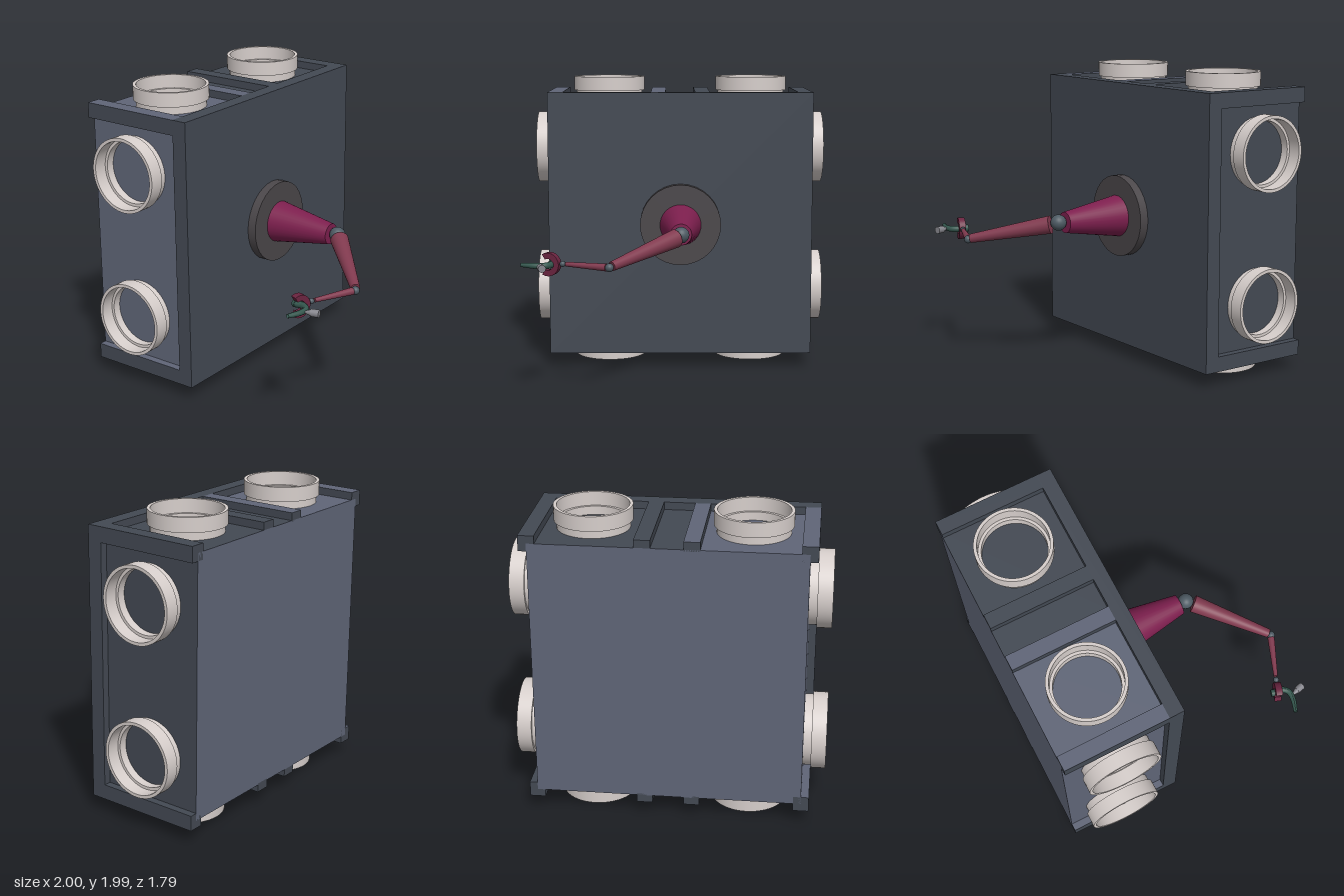
import * as THREE from 'three';

const mat = (color, extra = {}) => new THREE.MeshStandardMaterial({ color, ...extra });
const dark = mat(0x434953), light = mat(0x5f6577), ringMat = mat(0xd6cecb);
const discMat = mat(0x4b474a), coneMat = mat(0x7d1f4e), armMat = mat(0x813a4f);
const ballMat = mat(0x4d5a63), greenMat = mat(0x35584f), clawMat = mat(0x6b2440), greyMat = mat(0x85858c);
const V = (x, y, z) => new THREE.Vector3(x, y, z);

export function createModel() {
  const model = new THREE.Group();

  function add(name, geometry, material, parent = model) {
    const mesh = new THREE.Mesh(geometry, material);
    mesh.name = name;
    parent.add(mesh);
    return mesh;
  }

  // Box given by its limits on each axis
  function box(name, [x0, x1], [y0, y1], [z0, z1], material) {
    const mesh = add(name, new THREE.BoxGeometry(x1 - x0, y1 - y0, z1 - z0), material);
    mesh.position.set((x0 + x1) / 2, (y0 + y1) / 2, (z0 + z1) / 2);
    return mesh;
  }

  // Tapered rod between two points
  function rod(name, a, b, ra, rb, material) {
    const dir = b.clone().sub(a);
    const mesh = add(name, new THREE.CylinderGeometry(rb, ra, dir.length(), 32), material);
    mesh.position.copy(a).add(b).multiplyScalar(0.5);
    mesh.quaternion.setFromUnitVectors(V(0, 1, 0), dir.normalize());
    return mesh;
  }

  function ball(name, p, r, material) {
    add(name, new THREE.SphereGeometry(r, 24, 16), material).position.copy(p);
  }

  // Casing: front plate and a recessed core (face order +x -x +y -y +z -z)
  box('frontPlate', [-0.9, 0.9], [0.1, 1.9], [-0.2, -0.1], dark);
  box('coreRight', [-0.85, -0.1], [0.15, 1.85], [-0.9, -0.2], [dark, light, light, dark, dark, light]);
  box('coreLeft', [-0.1, 0.85], [0.15, 1.85], [-0.9, -0.2], [dark, dark, dark, dark, dark, light]);

  // Corner rails and inner ridges along the top and bottom
  for (const sx of [-1, 1]) {
    const top = sx < 0 ? light : dark;
    const faces = [dark, dark, top, dark, dark, dark];
    const span = (a, b) => (sx > 0 ? [a, b] : [-b, -a]);
    for (const up of [false, true]) {
      box('cornerRail', span(0.8, 0.9), up ? [1.8, 1.9] : [0.1, 0.2], [-0.9, -0.2], faces);
      box('ridge', span(0.1, 0.2), up ? [1.84, 1.9] : [0.1, 0.16], [-0.9, -0.2], faces);
    }
  }

  // Stepped socket rings, two on each of the four sides
  const profile = [
    [0.23, 0], [0.23, 0.055], [0.247, 0.055], [0.247, 0.15],
    [0.226, 0.15], [0.226, 0.06], [0.207, 0.06], [0.207, 0],
  ];
  // Each segment is turned by itself, so the edges stay sharp
  const bands = profile.slice(1).map((p, i) => new THREE.LatheGeometry(
    [new THREE.Vector2(...profile[i]), new THREE.Vector2(...p)], 64));
  for (let side = 0; side < 4; side++) {
    for (const offset of [-0.497, 0.497]) {
      const ring = new THREE.Group();
      ring.name = 'socketRing';
      for (const band of bands) add('ringBand', band, ringMat, ring);
      const angle = side * Math.PI / 2;
      const out = V(-Math.sin(angle), Math.cos(angle), 0);
      const along = V(Math.cos(angle), Math.sin(angle), 0);
      ring.position.set(0, 1, -0.545).addScaledVector(out, 0.845).addScaledVector(along, offset);
      ring.rotation.z = angle;
      model.add(ring);
    }
  }

  // Arm: mount, shoulder, joints and two tapering links
  rod('mountDisc', V(0, 1.005, -0.1), V(0, 1.005, -0.04), 0.275, 0.275, discMat);
  rod('shoulderCone', V(0, 1.005, -0.04), V(0, 1.005, 0.38), 0.14, 0.07, coneMat);
  ball('shoulderJoint', V(0, 1.01, 0.43), 0.053, ballMat);
  rod('upperArm', V(-0.035, 0.995, 0.47), V(-0.43, 0.882, 0.85), 0.06, 0.03, armMat);
  ball('elbowJoint', V(-0.445, 0.875, 0.86), 0.027, ballMat);
  rod('forearm', V(-0.465, 0.875, 0.85), V(-0.72, 0.877, 0.742), 0.024, 0.014, armMat);
  ball('wristJoint', V(-0.742, 0.877, 0.732), 0.019, ballMat);

  // C-shaped claw, open away from the arm
  const c = new THREE.Shape();
  c.absarc(0, 0, 0.074, -2.1, 2.1, false);
  c.absarc(0, 0, 0.036, 2.1, -2.1, true);
  c.closePath();
  const clawGeo = new THREE.ExtrudeGeometry(c, { depth: 0.045, bevelEnabled: false, curveSegments: 24 });
  clawGeo.translate(0, 0, -0.0225);
  const claw = add('claw', clawGeo, clawMat);
  claw.position.set(-0.83, 0.87, 0.698);
  claw.rotation.y = -0.34;

  // Curved finger, narrowed towards its tip
  const path = new THREE.CatmullRomCurve3([
    V(-0.815, 0.87, 0.66), V(-0.815, 0.87, 0.72), V(-0.85, 0.87, 0.765),
    V(-0.91, 0.87, 0.768), V(-1.0, 0.872, 0.738),
  ]);
  const finger = new THREE.TubeGeometry(path, 32, 0.022, 12, false);
  const pos = finger.attributes.position, p = V(0, 0, 0);
  for (let i = 0; i < pos.count; i++) {
    const t = Math.floor(i / 13) / 32;
    const center = path.getPointAt(t);
    p.fromBufferAttribute(pos, i).sub(center).multiplyScalar(1 - 0.4 * t * t).add(center);
    pos.setXYZ(i, p.x, p.y, p.z);
  }
  finger.computeVertexNormals();
  add('finger', finger, greenMat).material.side = THREE.DoubleSide;
  rod('fingerBase', V(-0.81, 0.87, 0.655), V(-0.815, 0.87, 0.675), 0.024, 0.024, greenMat);

  // Small nozzle on the finger
  rod('nozzleStem', V(-0.885, 0.87, 0.78), V(-0.872, 0.87, 0.82), 0.006, 0.02, greyMat);
  rod('nozzle', V(-0.872, 0.87, 0.82), V(-0.858, 0.87, 0.87), 0.024, 0.024, greyMat);

  return model;
}
